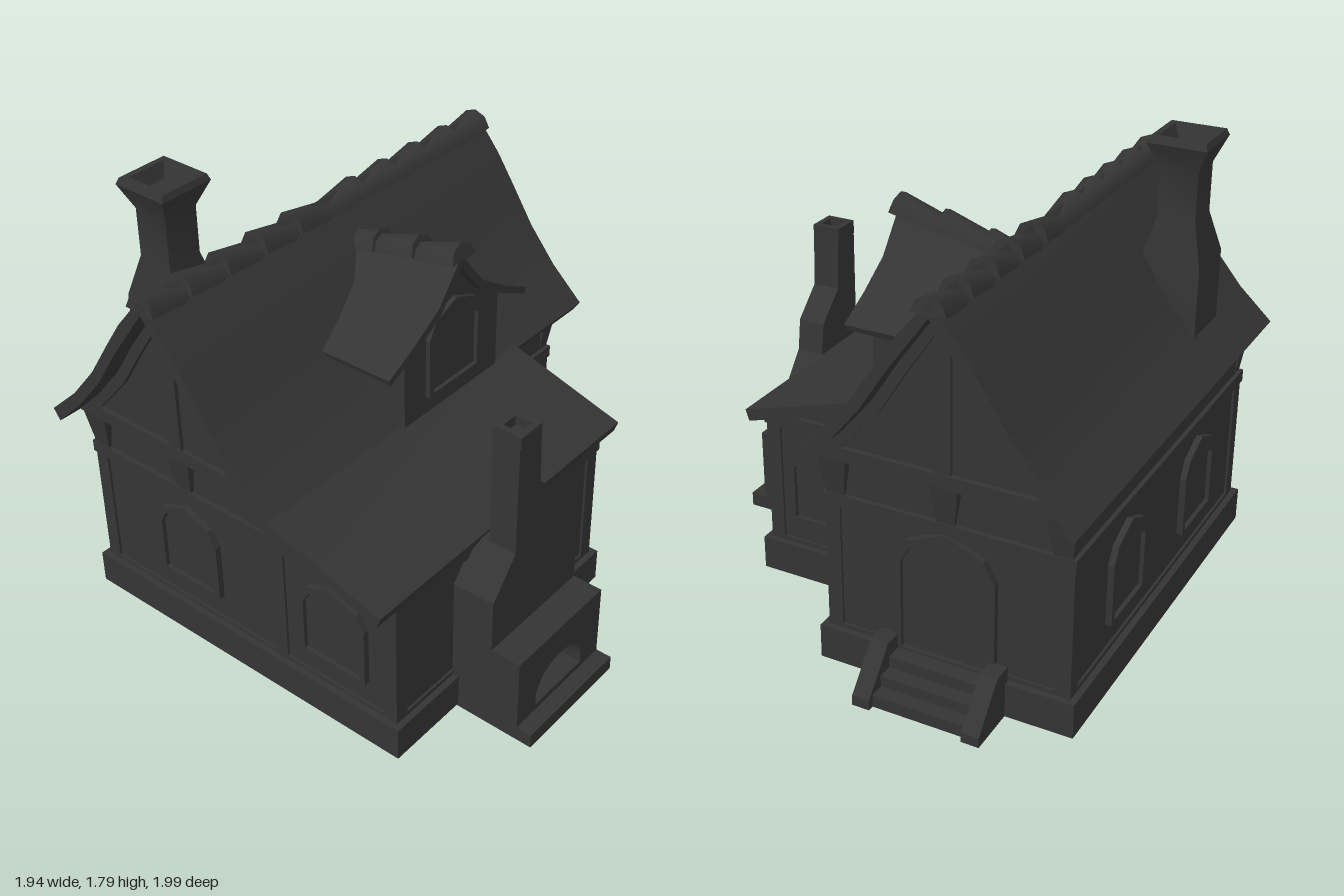
import * as THREE from 'three';
import { toCreasedNormals, mergeVertices } from 'three/addons/utils/BufferGeometryUtils.js';

const charcoal = new THREE.MeshStandardMaterial({ color: 0x343434, side: THREE.DoubleSide });
charcoal.name = 'charcoal';

function add(parent, name, geo, x = 0, y = 0, z = 0, crease = 0.5) {
  const mesh = new THREE.Mesh(toCreasedNormals(geo, crease), charcoal);
  mesh.name = name;
  mesh.position.set(x, y, z);
  parent.add(mesh);
  return mesh;
}

const shapeOf = (pts) => new THREE.Shape(pts.map((p) => new THREE.Vector2(p[0], p[1])));
const extrude = (shape, depth) => new THREE.ExtrudeGeometry(shape, { depth, bevelEnabled: false, curveSegments: 12 });
const box = (w, h, d) => new THREE.BoxGeometry(w, h, d);

// Mirrored outline with half points listed from the ridge (0) outwards
const mirrored = (half) => [...half.slice(1).reverse().map(([x, y]) => [-x, y]), ...half];
// Slab between an outer and an inner roof line
const slab = (outer, inner) => shapeOf([...mirrored(outer), ...mirrored(inner).reverse()]);

// Extrusion along +x of a profile given as [z, y]
const alongX = (pts, depth) => extrude(shapeOf(pts.map(([z, y]) => [-z, y])), depth).rotateY(Math.PI / 2);

// Square stack turned from a profile of [half width, y]
const squareStack = (pts) => new THREE.LatheGeometry(
  pts.map(([r, y]) => new THREE.Vector2(r * Math.SQRT2, y)), 4, Math.PI / 4);

// L-shaped ground plan, grown by o, as [x, -z]
const plan = (o) => [
  [-0.9 - o, -0.866 - o], [0.61 + o, -0.866 - o], [0.61 + o, 0.36 + o],
  [0.08 + o, 0.36 + o], [0.08 + o, 0.775 + o], [-0.9 - o, 0.775 + o]];

// Hollow band following the ground plan
function band(parent, name, o, thick, y0, y1) {
  const s = shapeOf(plan(o));
  s.holes.push(shapeOf(plan(o - thick)));
  return add(parent, name, extrude(s, y1 - y0).rotateX(-Math.PI / 2), 0, y0, 0);
}

// Pointed opening outline
const opening = (hw, y0, y1) => [
  [-hw, y0], [hw, y0], [hw, y1 - hw * 0.74], [hw * 0.77, y1 - hw * 0.32], [0, y1],
  [-hw * 0.77, y1 - hw * 0.32], [-hw, y1 - hw * 0.74]];

// Frame and pane, facing +z before the turn
function openingUnit(parent, name, hw, y0, y1, x, z, turn) {
  const g = new THREE.Group();
  g.name = name;
  const s = shapeOf(opening(hw, y0, y1));
  s.holes.push(shapeOf(opening(hw - 0.025, y0 + 0.012, y1 - 0.03)));
  add(g, name + 'Frame', extrude(s, 0.035), 0, 0, -0.01);
  add(g, name + 'Pane', extrude(shapeOf(opening(hw - 0.02, y0 + 0.01, y1 - 0.02)), 0.008), 0, 0, 0);
  g.position.set(x, 0, z);
  g.rotation.y = turn;
  parent.add(g);
}

// Half-round ridge tile along z, its wide +z end raised
const ridgeTile = (len, tilt) => mergeVertices(
  new THREE.CylinderGeometry(0.067, 0.054, len, 4, 1, false, Math.PI / 2, Math.PI)
    .rotateX(Math.PI / 2).rotateX(-tilt));

export function createModel() {
  const house = new THREE.Group();
  house.name = 'cottage';
  const MX = -0.41, MZ = 0.046;

  // Plinth, walls and horizontal beams
  band(house, 'plinth', 0.025, 0.055, 0.01, 0.15);
  band(house, 'sill', 0, 0.03, 0.15, 0.168);
  band(house, 'walls', -0.01, 0.02, 0.15, 0.72);
  band(house, 'storeyBeam', 0.007, 0.04, 0.67, 0.72);
  const upper = shapeOf([[-0.89, -0.856], [0.07, -0.856], [0.07, 0.765], [-0.89, 0.765]]);
  upper.holes.push(shapeOf([[-0.87, -0.836], [0.05, -0.836], [0.05, 0.745], [-0.87, 0.745]]));
  add(house, 'upperWalls', extrude(upper, 0.16).rotateX(-Math.PI / 2), 0, 0.72, 0);
  for (const z of [0.836, -0.35]) {
    add(house, 'wingGable', extrude(shapeOf([[0.05, 0.7], [0.6, 0.7], [0.6, 0.72], [0.05, 0.88]]), 0.02), 0, 0, z);
  }

  // Corner and middle posts
  for (const [x, z] of [[-0.87, 0.836], [0.05, 0.836], [0.58, 0.836], [0.58, -0.33],
    [0.05, -0.745], [-0.87, -0.745]]) {
    add(house, 'post', box(0.06, 0.52, 0.06), x, 0.41, z);
  }

  // Windows and door
  openingUnit(house, 'frontWindow', 0.157, 0.27, 0.635, MX, 0.856, 0);
  openingUnit(house, 'frontWindow', 0.157, 0.27, 0.635, 0.317, 0.856, 0);
  openingUnit(house, 'wingBackWindow', 0.157, 0.27, 0.635, 0.35, -0.35, Math.PI);
  for (const z of [-0.305, 0.395]) openingUnit(house, 'sideWindow', 0.157, 0.27, 0.635, -0.89, z, -Math.PI / 2);
  openingUnit(house, 'door', 0.2, 0.15, 0.68, MX, -0.765, Math.PI);
  openingUnit(house, 'dormerWindow', 0.157, 0.985, 1.355, 0.145, -0.025, Math.PI / 2);

  // Main roof with its curved slopes and the lower wing roof
  const inner = [[0, 1.54], [0.165, 1.31], [0.27, 1.145], [0.39, 1.0], [0.53, 0.86]];
  const outer = [[0, 1.6], [0.12, 1.455], [0.2, 1.335], [0.3, 1.18], [0.42, 1.035], [0.56, 0.905]];
  add(house, 'mainRoof', extrude(slab(outer, inner), 1.878), MX, 0, -0.893);
  add(house, 'wingRoof', extrude(shapeOf(
    [[0.12, 0.93], [0.15, 0.907], [0.64, 0.76], [0.625, 0.715], [0.12, 0.862]]), 1.44), 0, 0, -0.455);

  // Timbered gables, front and back
  for (const turn of [0, Math.PI]) {
    const g = new THREE.Group();
    g.name = turn ? 'backGable' : 'frontGable';
    g.position.set(MX, 0, MZ);
    g.rotation.y = turn;
    house.add(g);
    const outline = mirrored([[0, 1.55], [0.165, 1.32], [0.27, 1.15], [0.39, 1.005], [0.52, 0.87]]);
    add(g, 'gablePanel', extrude(shapeOf(outline), 0.03), 0, 0, 0.8);
    const frame = shapeOf(outline);
    frame.holes.push(shapeOf(mirrored([[0, 1.48], [0.14, 1.27], [0.24, 1.11], [0.4, 0.925]])));
    add(g, 'gableFrame', extrude(frame, 0.05), 0, 0, 0.798);
    add(g, 'kingPost', box(0.06, 0.58, 0.045), 0, 1.2, 0.822);
    // Tapered brackets under the gable
    for (const x of [-0.445, 0, 0.445]) {
      const geo = box(0.115, 0.15, 0.07);
      const p = geo.attributes.position;
      for (let i = 0; i < p.count; i++) {
        if (p.getY(i) < 0) p.setXYZ(i, p.getX(i) * 0.62, p.getY(i), p.getZ(i) > 0 ? 0.012 : p.getZ(i));
      }
      add(g, 'bracket', geo, x, 0.795, 0.811);
    }
  }

  // Ridge tiles rising outwards from the middle
  for (const s of [1, -1]) {
    for (let i = 0; i < 5; i++) {
      const t = add(house, 'ridgeTile', ridgeTile(0.19, 0.12), MX, 1.54, MZ + s * (i + 0.5) * 0.188, 1);
      if (s < 0) t.rotation.y = Math.PI;
    }
  }

  // Dormer: walls, roof running back into the main slope, ridge tiles
  const dormer = new THREE.Group();
  dormer.name = 'dormer';
  dormer.position.z = -0.025;
  house.add(dormer);
  const wallGeo = alongX([...mirrored([[0, 1.5], [0.12, 1.345], [0.28, 1.262], [0.28, 0.91]])], 0.25);
  wallGeo.translate(-0.1, 0, 0);
  const wp = wallGeo.attributes.position;
  for (let i = 0; i < wp.count; i++) if (wp.getX(i) < 0) wp.setY(i, Math.max(wp.getY(i), 1.14));
  add(dormer, 'dormerWalls', wallGeo);

  const dOuter = [[0, 1.54], [0.13, 1.375], [0.27, 1.285], [0.415, 1.21]];
  const dInner = [[0, 1.49], [0.12, 1.34], [0.26, 1.255], [0.405, 1.185]];
  const roofGeo = extrude(slab(dOuter, dInner), 0.5).rotateY(Math.PI / 2);
  const rp = roofGeo.attributes.position;
  for (let i = 0; i < rp.count; i++) {
    const t = (rp.getY(i) - 1.2) / 0.34;
    if (rp.getX(i) < 0.25) rp.setXY(i, -0.12 - 0.23 * t, rp.getY(i) - 0.07 * Math.max(t, 0));
    else rp.setX(i, 0.19);
  }
  add(dormer, 'dormerRoof', roofGeo);
  for (const [x, y, len] of [[-0.245, 1.43, 0.14], [-0.085, 1.465, 0.2], [0.105, 1.5, 0.2]]) {
    add(dormer, 'dormerRidgeTile', ridgeTile(len, 0.26), x, y, 0, 1).rotation.y = Math.PI / 2;
  }

  // Roof chimney with flared, hollow cap
  add(house, 'roofChimney', squareStack([[0.12, 1.0], [0.12, 1.31], [0.076, 1.475], [0.076, 1.67],
    [0.12, 1.77], [0.11, 1.795], [0.085, 1.795], [0.06, 1.74], [0, 1.74]]), -0.72, 0, 0.55);

  // Outside fireplace and its stepped stack
  const hearth = new THREE.Group();
  hearth.name = 'fireplace';
  house.add(hearth);
  add(hearth, 'hearthSlab', box(0.36, 0.06, 0.525), 0.79, 0.03, 0.275);
  add(hearth, 'chimneyBreast', alongX(
    [[0.535, 0], [0.015, 0], [0.015, 0.59], [0.135, 0.74], [0.41, 0.74], [0.535, 0.59]], 0.175), 0.605);
  add(hearth, 'chimneyStack', alongX(
    [[0.41, 0.73], [0.135, 0.73], [0.155, 0.87], [0.275, 0.985], [0.285, 1.2], [0.41, 1.2]], 0.115), 0.665);
  add(hearth, 'stackRim', squareStack([[0.06, 1.19], [0.06, 1.245], [0.035, 1.245], [0.035, 1.205], [0, 1.205]]),
    0.722, 0, 0.347);
  const front = shapeOf([[-0.26, 0.05], [0.26, 0.05], [0.26, 0.37], [-0.26, 0.37]]);
  const arch = new THREE.Path();
  arch.moveTo(-0.145, 0.085);
  arch.lineTo(0.145, 0.085);
  arch.lineTo(0.145, 0.12);
  arch.absellipse(0, 0.12, 0.145, 0.12, 0, Math.PI, false);
  arch.lineTo(-0.145, 0.085);
  front.holes.push(arch);
  add(hearth, 'hearthBlock', extrude(front, 0.125).rotateY(Math.PI / 2), 0.78, 0, 0.275);

  // Back steps between sloping side walls
  for (const x of [-0.66, -0.22]) {
    add(house, 'stepSide', alongX(
      [[-0.78, 0.01], [-0.78, 0.21], [-0.86, 0.21], [-1.0, 0.05], [-1.0, 0.01]], 0.07), x);
  }
  for (let i = 0; i < 3; i++) {
    const d = 0.07 + i * 0.06, h = 0.14 - i * 0.045;
    add(house, 'step', box(0.38, h, d), MX, 0.01 + h / 2, -0.785 - d / 2);
  }
  return house;
}
